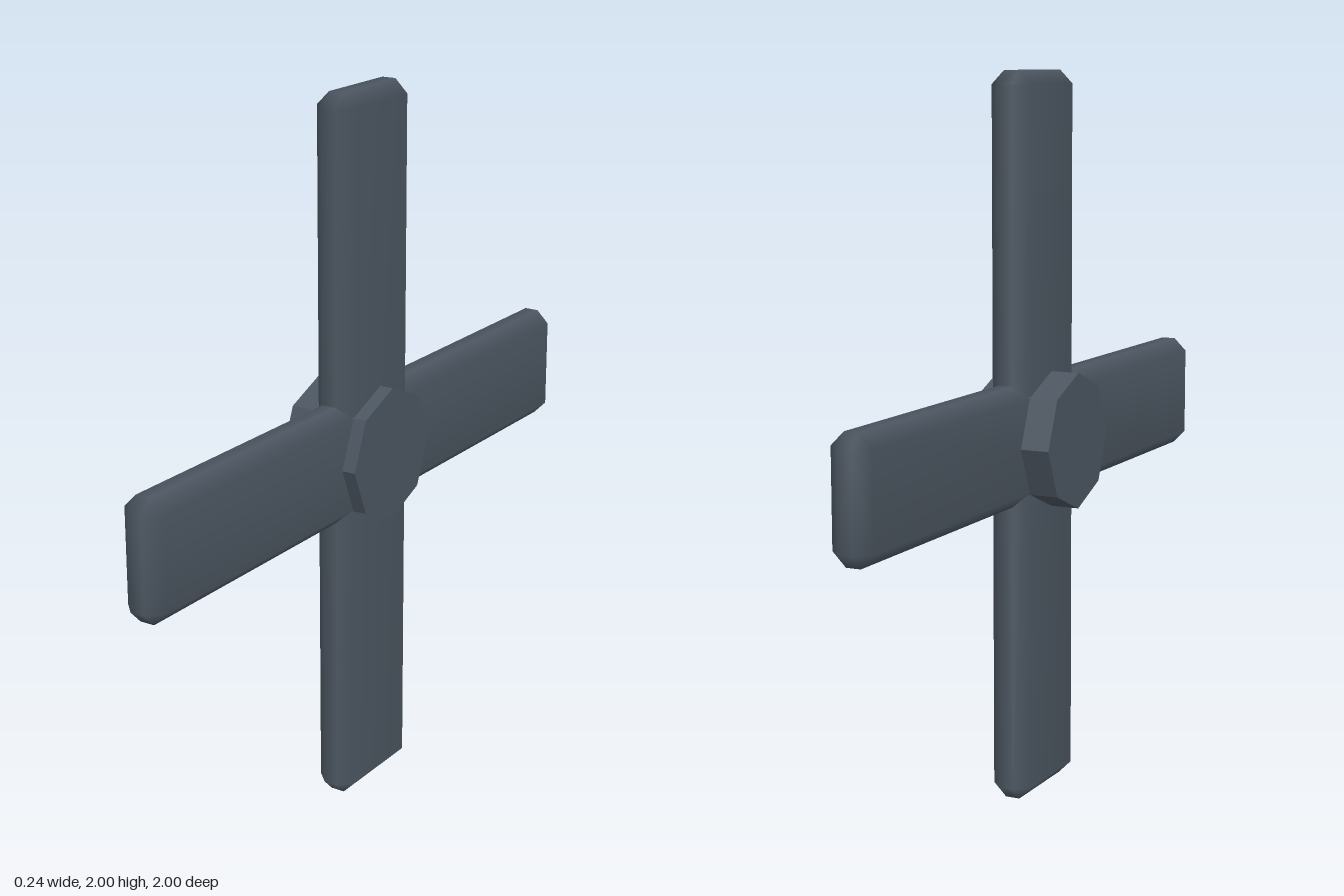
import * as THREE from 'three';
import { ConvexGeometry } from 'three/addons/geometries/ConvexGeometry.js';
import { mergeVertices } from 'three/addons/utils/BufferGeometryUtils.js';

// Box with every edge chamfered and softly smoothed normals
function chamferedBox(width, height, depth, bevel) {
  const half = [width / 2, height / 2, depth / 2];
  const points = [];
  for (const sx of [-1, 1]) for (const sy of [-1, 1]) for (const sz of [-1, 1]) {
    for (let full = 0; full < 3; full++) {
      const [x, y, z] = half.map((h, axis) => (axis === full ? h : h - bevel));
      points.push(new THREE.Vector3(sx * x, sy * y, sz * z));
    }
  }
  const geometry = new ConvexGeometry(points);
  geometry.deleteAttribute('normal');
  const smooth = mergeVertices(geometry, 1e-4);
  smooth.computeVertexNormals();
  return smooth;
}

export function createModel() {
  const model = new THREE.Group();
  model.name = 'crossedBlades';

  const slate = new THREE.MeshStandardMaterial({ color: 0x4b5560 });
  slate.name = 'slateGrey';
  const hubMaterial = slate.clone();
  hubMaterial.name = 'slateGreyFaceted';
  hubMaterial.flatShading = true;

  // Two crossing blades, set slightly towards +x on the hub
  const bladeGeometry = chamferedBox(0.115, 2, 0.33, 0.037);
  ['verticalBlade', 'horizontalBlade'].forEach((name, i) => {
    const blade = new THREE.Mesh(bladeGeometry, slate);
    blade.name = name;
    blade.position.set(0.021, 1, 0);
    blade.rotation.x = i * Math.PI / 2;
    model.add(blade);
  });

  // Eight-sided hub along the x axis, corners on the blade axes
  const hub = new THREE.Mesh(new THREE.CylinderGeometry(0.188, 0.188, 0.236, 8), hubMaterial);
  hub.name = 'hub';
  hub.position.y = 1;
  hub.rotation.z = Math.PI / 2;
  model.add(hub);

  return model;
}
